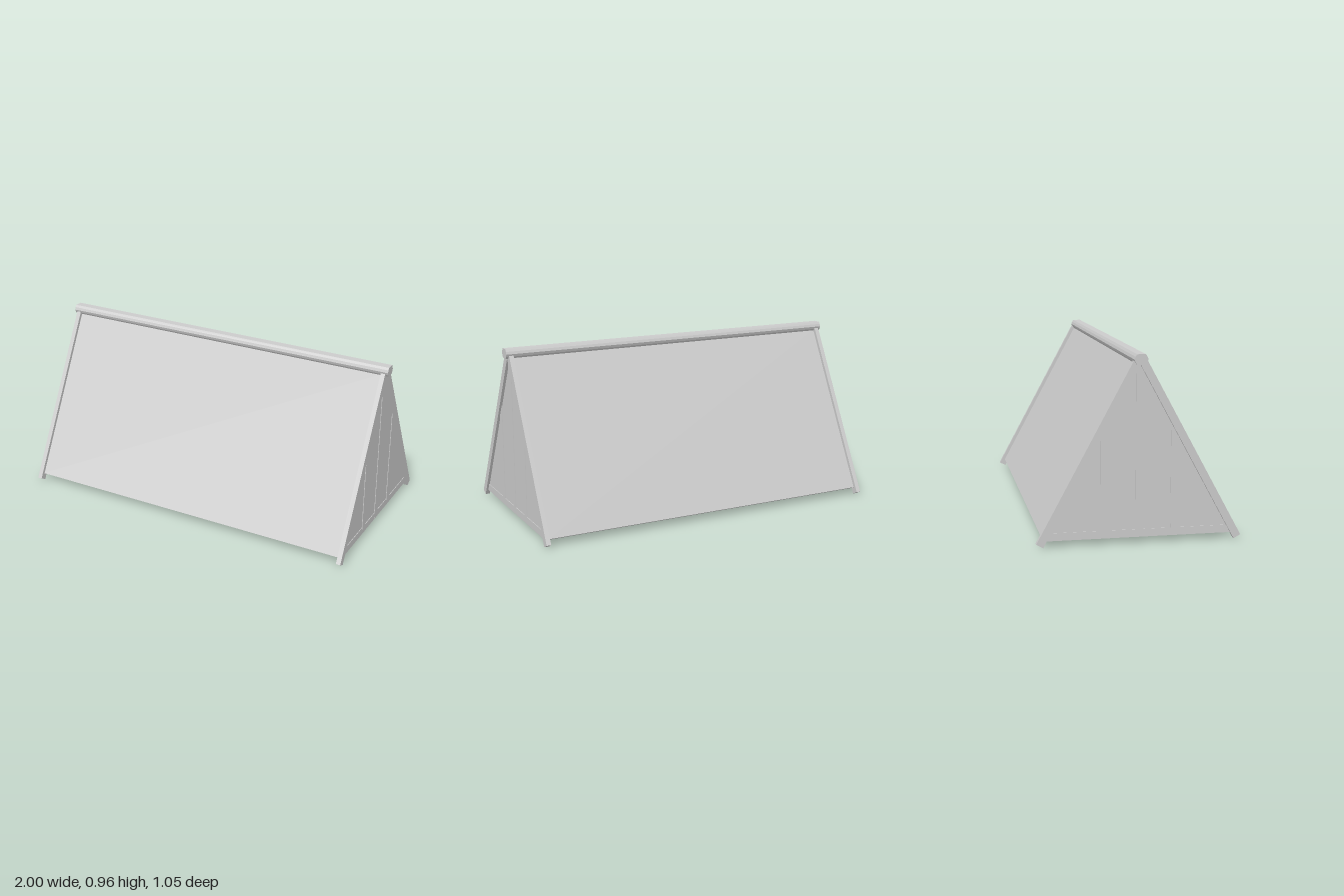
import * as THREE from 'three';

const grey = new THREE.MeshStandardMaterial({ color: 0xcccccc });
grey.name = 'plain grey';

// Inner roof line runs from the foot (z 0.49, y 0) to the apex (z 0, y APEX)
const FOOT = 0.49, APEX = 0.905;
const LEN = Math.hypot(FOOT, APEX);
const OUT_Z = APEX / LEN, OUT_Y = FOOT / LEN;
const lineY = z => APEX * (1 - Math.abs(z) / FOOT);
const lineZ = y => FOOT * (1 - y / APEX);

// Prism along x from a [z, y] outline
function prism(name, outline, x0, x1) {
  const shape = new THREE.Shape(outline.map(([z, y]) => new THREE.Vector2(-z, y)));
  const geo = new THREE.ExtrudeGeometry(shape, { depth: x1 - x0, bevelEnabled: false });
  geo.rotateY(Math.PI / 2).translate(x0, 0, 0);
  const mesh = new THREE.Mesh(geo, grey);
  mesh.name = name;
  return mesh;
}

// Sloping slab lying on the inner roof line, cut square at both ends
function slope(name, side, bottom, thick, x0, x1) {
  const z = lineZ(bottom), dz = thick * OUT_Z, dy = thick * OUT_Y;
  const pts = [[z, bottom], [z + dz, bottom + dy], [dz, APEX + dy], [0, APEX]];
  return prism(name, pts.map(([a, b]) => [a * side, b]), x0, x1);
}

export function createModel() {
  const model = new THREE.Group();
  model.name = 'gableRoof';

  // Ridge beam with softened sides
  const half = [[0.022, 0.907], [0.03, 0.918], [0.035, 0.932], [0.03, 0.946], [0.022, 0.958]];
  const ridge = [...half, ...half.map(([z, y]) => [-z, y]).reverse()];
  model.add(prism('ridgeBeam', ridge, -1, 1));

  // Roof panels and the taller end rafters
  for (const side of [1, -1]) {
    const label = side > 0 ? 'front' : 'back';
    model.add(slope(label + 'RoofPanel', side, 0.03, 0.022, -0.965, 0.965));
    model.add(slope(label + 'LeftRafter', side, 0, 0.04, 0.96, 0.985));
    model.add(slope(label + 'RightRafter', side, 0, 0.04, -0.985, -0.96));
  }

  // Gable ends: sill, infill panel and three studs projecting inwards
  for (const end of [1, -1]) {
    const gable = new THREE.Group();
    gable.name = end > 0 ? 'leftGable' : 'rightGable';
    const add = (name, pts, inner, outer) =>
      gable.add(prism(name, pts, Math.min(end * inner, end * outer), Math.max(end * inner, end * outer)));
    const a = lineZ(0.03), b = lineZ(0.07);
    add('gableSill', [[-a, 0.03], [a, 0.03], [b, 0.07], [-b, 0.07]], 0.95, 0.973);
    add('gablePanel', [[-b, 0.07], [b, 0.07], [0, APEX]], 0.953, 0.97);
    for (const z of [-0.18, 0, 0.18]) {
      const l = z - 0.02, r = z + 0.02;
      const top = z === 0 ? [[0, APEX]] : [];
      add('gableStud', [[l, 0.03], [r, 0.03], [r, lineY(r)], ...top, [l, lineY(l)]], 0.915, 0.9735);
    }
    model.add(gable);
  }
  return model;
}
